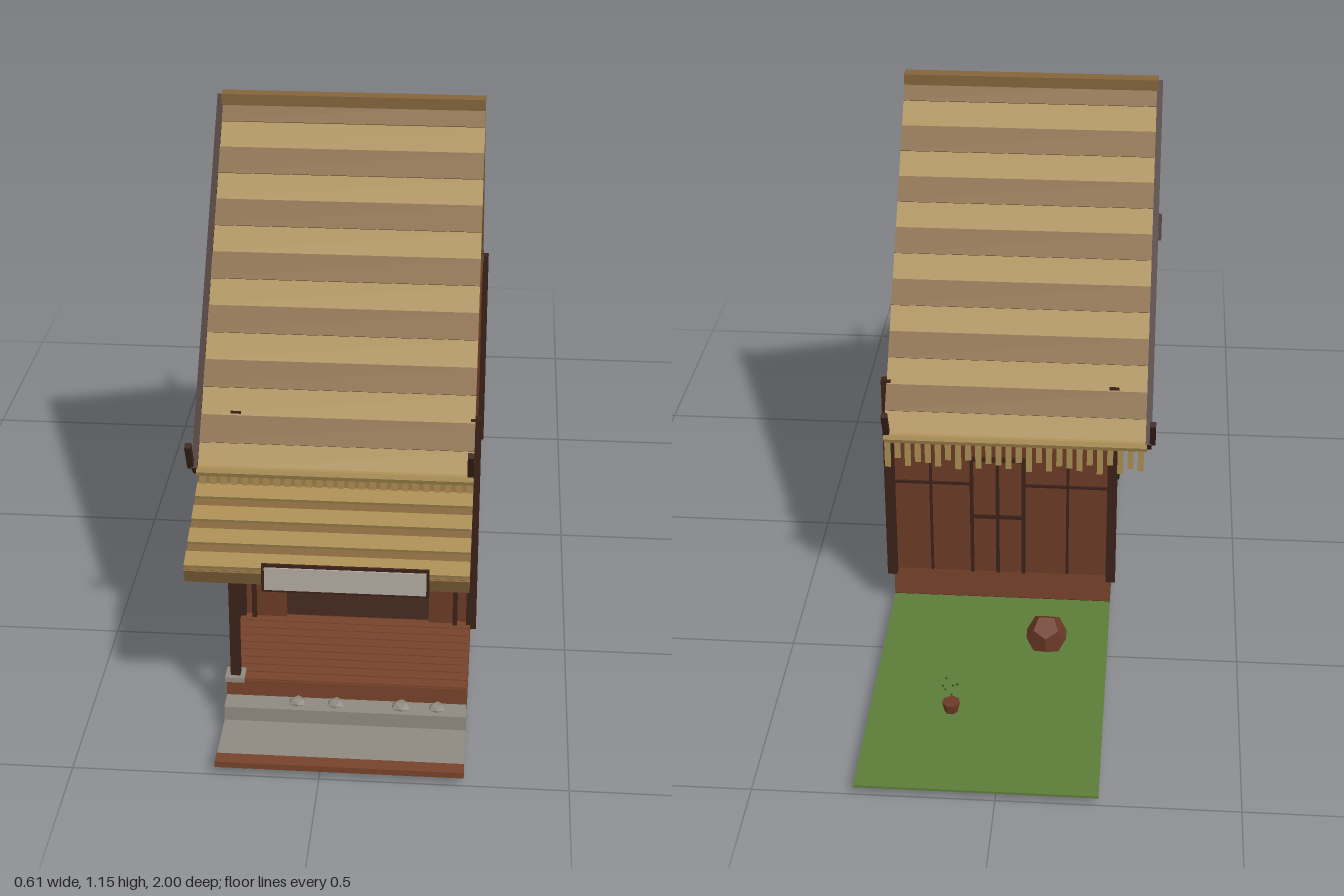
import * as THREE from 'three';

const mat = (color) => new THREE.MeshStandardMaterial({ color, flatShading: true, side: THREE.DoubleSide });
const M = {
  light: mat(0xa98c52), dark: mat(0x83643a), under: mat(0x8e7440), wall: mat(0x6b3a26), base: mat(0x77432b),
  post: mat(0x3a2219), shade: mat(0x472a20), grass: mat(0x5c7d38), stone: mat(0x8f8a80), window: mat(0x1e1d1b),
  sign: mat(0xb3aaa0), leaf: mat(0x46502a),
};
const X0 = -0.21, X1 = 0.29;           // house width
const RX0 = -0.285, RX1 = 0.29;        // roof width
const RZ = 0.115, RY = 1.14, HALF = 0.53, PITCH = 0.64 / 0.53; // ridge and eaves

export function createModel() {
  const root = new THREE.Group();
  const add = (name, geo, m, parent = root) => {
    const mesh = new THREE.Mesh(geo, m);
    mesh.name = name;
    parent.add(mesh);
    return mesh;
  };
  const group = (name) => {
    const g = new THREE.Group();
    g.name = name;
    root.add(g);
    return g;
  };
  // box from its limits
  const box = (name, x0, x1, y0, y1, z0, z1, m, parent) => {
    const b = add(name, new THREE.BoxGeometry(x1 - x0, y1 - y0, z1 - z0), m, parent);
    b.position.set((x0 + x1) / 2, (y0 + y1) / 2, (z0 + z1) / 2);
    return b;
  };
  // outline of [z, y] points pulled along x
  const prism = (name, pts, x0, x1, m, parent) => {
    const shape = new THREE.Shape(pts.map(([z, y]) => new THREE.Vector2(-z, y)));
    const geo = new THREE.ExtrudeGeometry(shape, { depth: x1 - x0, bevelEnabled: false });
    return add(name, geo.rotateY(Math.PI / 2).translate(x0, 0, 0), m, parent);
  };
  // sloping board whose top runs from (z0, y0) to (z1, y1), z1 > z0
  const board = (name, x0, x1, z0, y0, z1, y1, t, lift, m, parent) => {
    const a = -Math.atan2(y1 - y0, z1 - z0), o = lift - t / 2;
    const b = add(name, new THREE.BoxGeometry(x1 - x0, t, Math.hypot(z1 - z0, y1 - y0)), m, parent);
    b.position.set((x0 + x1) / 2, (y0 + y1) / 2 + Math.cos(a) * o, (z0 + z1) / 2 + Math.sin(a) * o);
    b.rotation.x = a;
    return b;
  };

  // Plot
  box('grass', X0, X1, 0.02, 0.025, -1, -0.32, M.grass);
  box('baseUnderside', X0, X1, 0.02, 0.026, -0.32, 0.805, M.shade);
  box('paving', X0, X1, 0.02, 0.028, 0.805, 0.97, M.stone);
  box('kerb', X0, X1, 0.02, 0.033, 0.97, 1, M.base);
  box('platform', X0, X1, 0.025, 0.097, -0.32, 0.805, M.base);
  box('step', X0, X1, 0.025, 0.06, 0.805, 0.85, M.stone);
  const planks = group('porchFloor');
  for (let i = 0; i < 9; i++) {
    const z = 0.556 + i * 0.0277;
    box('plank', X0, X1, 0.095, 0.1, z, z + 0.025, M.base, planks);
  }
  [[-0.06, 0.02], [0.02, 0.02], [0.155, 0.022], [0.23, 0.02]].forEach(([x, r]) => {
    const s = add('stepStone', new THREE.IcosahedronGeometry(r, 0), M.stone);
    s.scale.y = 0.5;
    s.position.set(x, 0.06, 0.822);
  });

  // Walls and the boarded gable
  box('houseBody', X0 + 0.005, X1 - 0.001, 0.097, 0.598, -0.32, 0.55, M.wall);
  prism('gable', [[-0.32, 0.595], [-0.28, 0.6], [RZ, 1.085], [0.51, 0.6], [0.55, 0.595]], X0, X0 + 0.01, M.wall);

  // Corner posts
  const posts = group('cornerPosts');
  for (const x of [X0, X1 + 0.002]) for (const z of [-0.328, 0.557])
    box('cornerPost', x - 0.011, x + 0.011, 0.09, 0.6, z - 0.009, z + 0.009, M.post, posts);

  // Front: dark doorway, sliding panels and frame
  const front = group('frontWall');
  box('doorway', -0.11, 0.2, 0.1, 0.44, 0.55, 0.552, M.shade, front);
  for (const [a, b] of [[-0.175, -0.11], [0.2, 0.255]]) {
    box('slidingPanel', a, b, 0.1, 0.44, 0.55, 0.562, M.wall, front);
    box('panelRail', a, b, 0.262, 0.267, 0.56, 0.565, M.post, front);
  }
  for (const x of [-0.18, 0.257]) box('doorPost', x - 0.005, x + 0.005, 0.1, 0.48, 0.55, 0.57, M.post, front);
  box('lintel', X0, X1, 0.44, 0.455, 0.55, 0.568, M.post, front);

  // Side wall: studs, rails and slatted windows
  const side = group('sideWall');
  for (let i = 0; i < 8; i++) {
    const z = -0.21 + i * 0.1;
    box('stud', X0 - 0.002, X0 + 0.006, 0.1, 0.595, z - 0.003, z + 0.003, M.post, side);
  }
  for (const y of [0.11, 0.46, 0.595])
    box('rail', X0 - 0.003, X0 + 0.006, y - 0.005, y + 0.005, -0.32, 0.55, M.post, side);
  for (const z of [-0.03, 0.32]) {
    box('window', X0 - 0.006, X0 + 0.006, 0.22, 0.42, z - 0.058, z + 0.058, M.window, side);
    for (let i = 0; i < 5; i++) {
      const s = z - 0.056 + i * 0.028;
      box('windowSlat', X0 - 0.011, X0, 0.215, 0.425, s - 0.004, s + 0.004, M.window, side);
    }
    for (const y of [0.25, 0.3, 0.35])
      box('shortRail', X0 - 0.004, X0 + 0.006, y - 0.003, y + 0.003, z - 0.1, z + 0.1, M.post, side);
  }

  // Back wall: framed door, studs and rail
  const back = group('backWall');
  box('backDoor', -0.01, 0.107, 0.1, 0.4, -0.325, -0.32, M.wall, back);
  for (const x of [-0.01, 0.0485, 0.107]) box('doorFrame', x - 0.004, x + 0.004, 0.1, 0.4, -0.33, -0.32, M.post, back);
  for (const y of [0.25, 0.4]) box('doorFrame', -0.014, 0.111, y - 0.004, y + 0.004, -0.33, -0.32, M.post, back);
  for (const x of [-0.11, 0.2]) box('stud', x - 0.003, x + 0.003, 0.1, 0.55, -0.325, -0.32, M.post, back);
  for (const [a, b] of [[X0, -0.014], [0.111, X1]]) box('rail', a, b, 0.33, 0.336, -0.325, -0.32, M.post, back);

  // Thatched roof: one chevron core with banded courses on both slopes
  const roof = group('roof');
  const eave = RY - HALF * PITCH;
  const chevron = (up, down) => [
    [RZ - HALF, eave + up], [RZ, RY + up], [RZ + HALF, eave + up],
    [RZ + HALF - 0.025, eave - 0.02], [RZ + HALF - 0.04, eave + 0.048 - down], [RZ, RY - down],
    [RZ - HALF + 0.04, eave + 0.048 - down], [RZ - HALF + 0.025, eave - 0.02],
  ];
  prism('roofCore', chevron(-0.006, 0.06), RX0, RX1, M.under, roof);
  for (let i = -1; i < 13; i++) {
    const yTop = i < 0 ? 1.137 : 1.095 - i * 0.0457, yBot = 1.095 - (i + 1) * 0.0457;
    const dTop = (RY - yTop) / PITCH, dBot = (RY - yBot) / PITCH;
    const m = i % 2 ? M.dark : M.light, lift = i % 2 ? 0.003 : 0;
    board('thatchCourse', RX0, RX1, RZ + dTop, yTop, RZ + dBot, yBot, 0.012, lift, m, roof);
    board('thatchCourse', RX0, RX1, RZ - dBot, yBot, RZ - dTop, yTop, 0.012, lift, m, roof);
  }
  box('ridgeCap', RX0, RX1, 1.108, 1.15, RZ - 0.016, RZ + 0.016, M.dark, roof);
  prism('bargeBoard', chevron(0.006, 0.03), RX0 - 0.01, RX0 + 0.003, M.post, roof);

  // Horn tips and eave fringes at both eaves
  for (const s of [1, -1]) {
    for (const x of [-0.297, X1 - 0.006]) {
      const horn = add('eaveHorn', new THREE.BoxGeometry(0.013, 0.07, 0.014), M.post, roof);
      horn.position.set(x, 0.537, RZ + s * 0.535);
      horn.rotation.x = s * 0.45;
    }
    for (let i = 0; i < 26; i++) {
      const x = RX0 + 0.006 + i * 0.0222;
      const low = s > 0 ? 0.468 : 0.437 + 0.012 * Math.sin(i * 2.7);
      box('fringeStraw', x, x + 0.013, low, 0.492, RZ + s * 0.524 - 0.003, RZ + s * 0.524 + 0.003, M.light, roof);
    }
    const pole = add('eavePole', new THREE.CylinderGeometry(0.014, 0.014, RX1 - RX0, 8), M.light, roof);
    pole.rotation.z = Math.PI / 2;
    pole.position.set((RX0 + RX1) / 2, 0.497, RZ + s * 0.518);
  }

  // Porch roof with raised battens, post and sign board
  const porch = group('porch');
  board('porchRoof', RX0, RX1, 0.555, 0.488, 0.842, 0.383, 0.028, 0, M.dark, porch);
  for (let i = 0; i < 5; i++) {
    const z = 0.575 + i * 0.057, y = 0.488 - (z - 0.555) * 0.366;
    board('porchBatten', RX0, RX1, z, y, z + 0.035, y - 0.0128, 0.012, 0.007, M.light, porch);
  }
  board('porchEave', RX0, RX1, 0.815, 0.39, 0.845, 0.379, 0.034, 0.002, M.dark, porch);
  box('porchPost', -0.201, -0.181, 0.1, 0.385, 0.785, 0.805, M.post, porch);
  box('postStone', -0.212, -0.172, 0.097, 0.108, 0.775, 0.815, M.stone, porch);
  box('signFrame', -0.127, 0.21, 0.343, 0.406, 0.845, 0.851, M.post, porch);
  box('signPanel', -0.121, 0.204, 0.349, 0.4, 0.85, 0.854, M.sign, porch);

  // Yard: tub, and a small stump with roots and sprigs
  const tub = add('tub', new THREE.DodecahedronGeometry(0.047, 0), M.wall);
  tub.position.set(-0.075, 0.068, -0.515);
  const plant = group('plant');
  plant.position.set(0.115, 0, -0.745);
  add('stump', new THREE.CylinderGeometry(0.02, 0.014, 0.024, 7), M.wall, plant).position.y = 0.037;
  for (let i = 0; i < 7; i++) {
    const a = (i / 7) * Math.PI * 2, c = Math.cos(a), s = Math.sin(a);
    const r = add('root', new THREE.ConeGeometry(0.004, 0.036, 4), M.leaf, plant);
    r.position.set(c * 0.018, 0.016, s * 0.018);
    r.quaternion.setFromUnitVectors(new THREE.Vector3(0, 1, 0), new THREE.Vector3(c, -1.2, s).normalize());
    const leaf = add('sprig', new THREE.TetrahedronGeometry(0.004), M.leaf, plant);
    leaf.position.set(c * 0.016, 0.09 + 0.012 * Math.sin(i * 2.1), s * 0.016);
  }
  return root;
}
